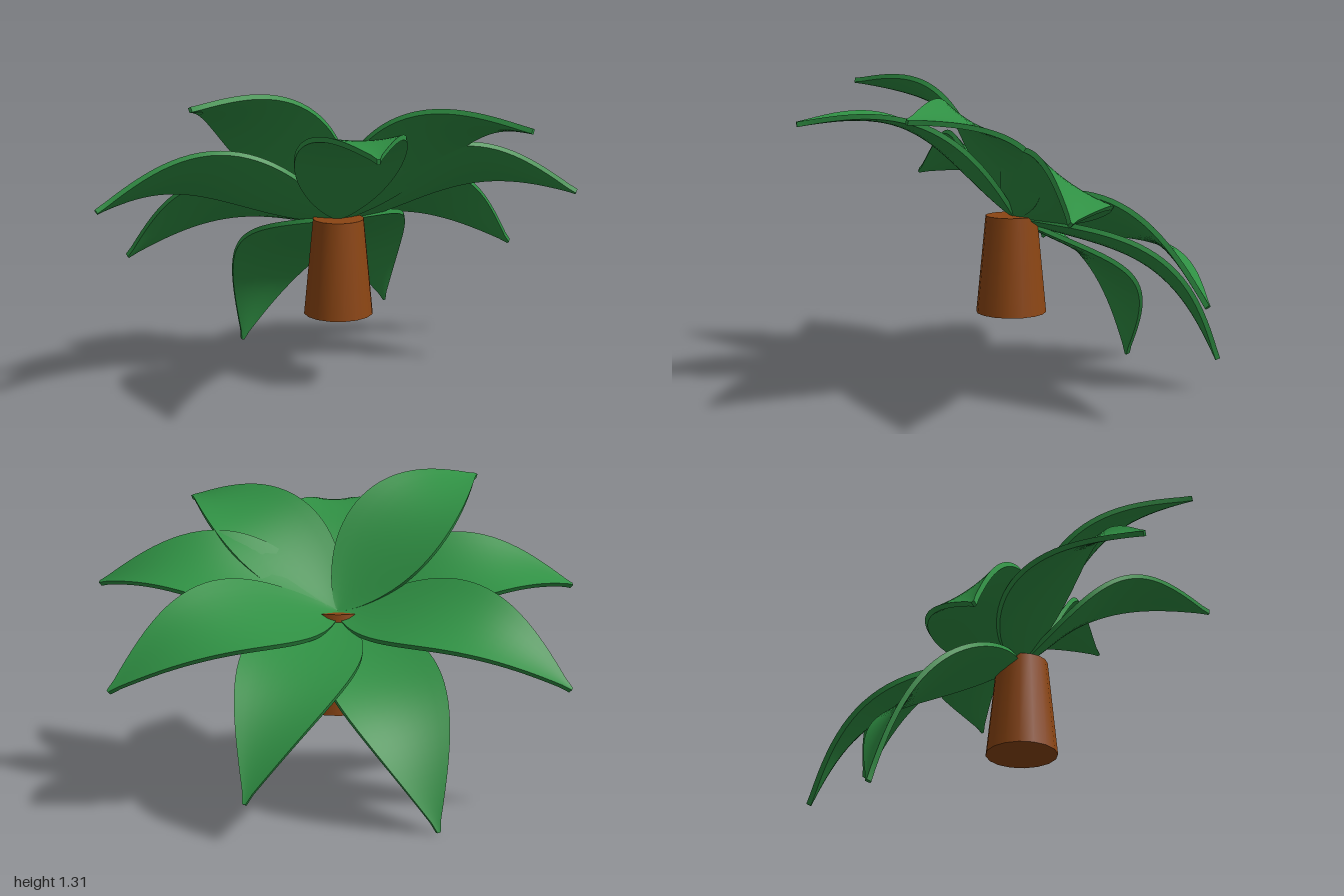
import * as THREE from 'three';

const WIDTH = 0.22, ARCH = 0.16, THICK = 0.02, TILT = 35 * Math.PI / 180;

// Leaf along +z: a thin slab bent into an arch, pointed at both ends, edges slightly raised
function leafGeometry(length) {
  const geo = new THREE.BoxGeometry(2, 1, 1, 8, 1, 28);
  const pos = geo.attributes.position;
  const arch = (u) => ARCH * Math.sin(Math.PI * Math.pow(u, 1.25));
  for (let i = 0; i < pos.count; i++) {
    const side = pos.getX(i);
    const u = Math.min(1, Math.max(0, pos.getZ(i) + 0.5));
    const half = Math.max(0.006, WIDTH * Math.sin(Math.PI * Math.pow(u, 0.8)));
    const a = Math.max(0, u - 0.01), b = Math.min(1, u + 0.01);
    const angle = Math.atan2(arch(b) - arch(a), (b - a) * length);
    const lift = pos.getY(i) * THICK + 0.025 * (half / WIDTH) * side * side;
    pos.setXYZ(i, side * half,
      arch(u) + lift * Math.cos(angle),
      u * length - lift * Math.sin(angle));
  }
  geo.computeVertexNormals();
  return geo;
}

export function createModel() {
  const model = new THREE.Group();
  model.name = 'palmPlant';

  const leafGreen = new THREE.MeshStandardMaterial({ color: 0x2f8f43 });
  leafGreen.name = 'leafGreen';
  const trunkBrown = new THREE.MeshStandardMaterial({ color: 0x8b4513 });
  trunkBrown.name = 'trunkBrown';

  // Tapered trunk
  const trunk = new THREE.Mesh(new THREE.CylinderGeometry(0.108, 0.148, 0.41, 16), trunkBrown);
  trunk.name = 'trunk';
  trunk.position.set(0, 0.535, -0.055);
  model.add(trunk);

  // Crown of nine leaves, leaning backwards
  const crown = new THREE.Group();
  crown.name = 'crown';
  crown.position.set(0, 0.737, -0.07);
  crown.rotation.x = -TILT;
  model.add(crown);

  // Tip height and length of each leaf, going round from the front
  const leaves = [
    [-0.19, 0.99], [0.01, 1.0], [0.01, 1.01], [0.06, 1.02], [-0.04, 1.04],
    [-0.21, 1.06], [0.06, 1.02], [-0.01, 1.01], [0.14, 0.99],
  ];
  leaves.forEach(([rise, length], i) => {
    const leaf = new THREE.Mesh(leafGeometry(length), leafGreen);
    leaf.name = 'leaf' + (i + 1);
    leaf.rotation.order = 'YXZ';
    leaf.rotation.set(-Math.asin(rise / length), i * Math.PI * 2 / leaves.length, 0);
    crown.add(leaf);
  });

  return model;
}
